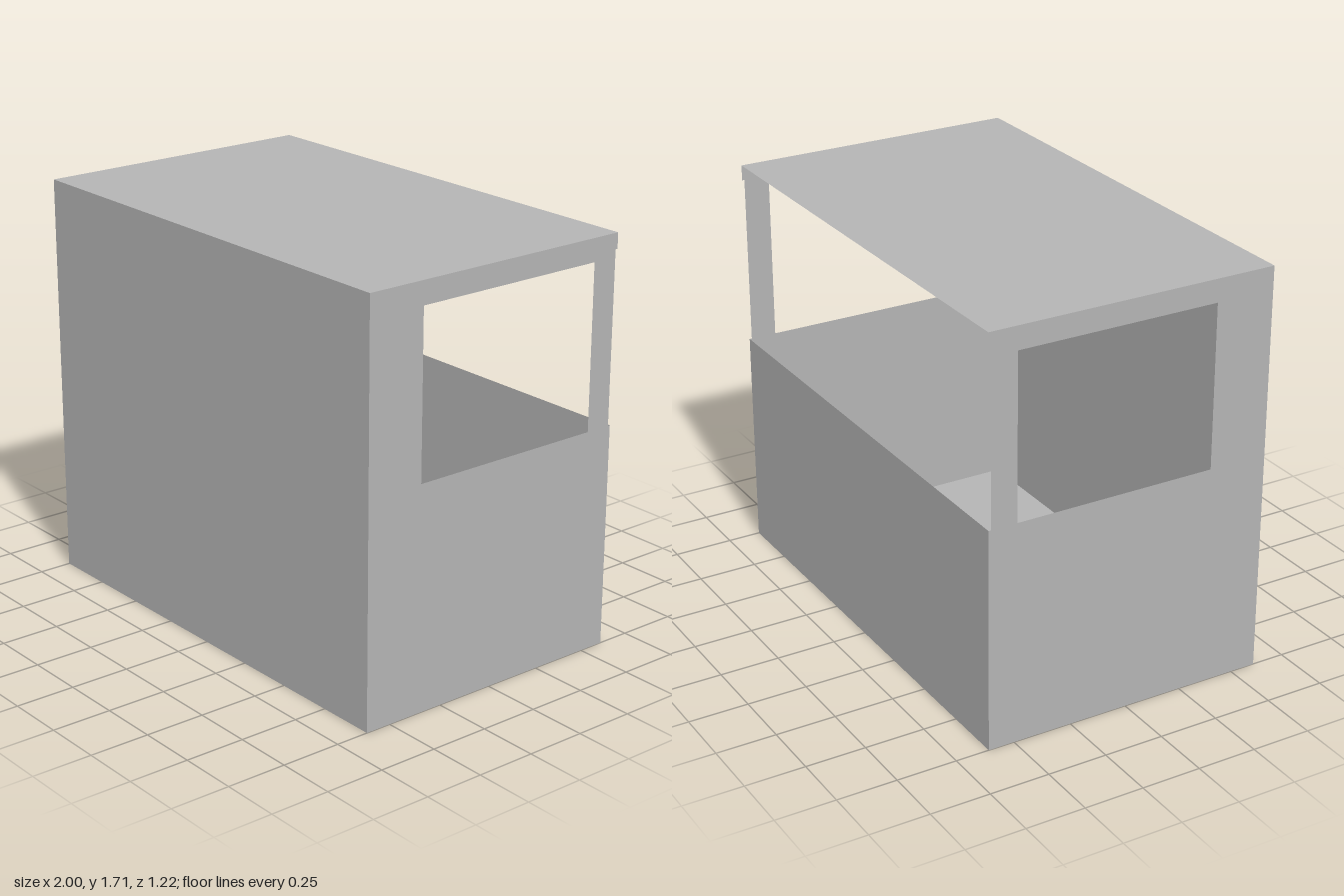
import * as THREE from 'three';

const HALF_W = 1, HEIGHT = 1.705, HALF_D = 0.61, SILL = 0.93;

export function createModel() {
  const group = new THREE.Group();
  const grey = new THREE.MeshStandardMaterial({ color: 0xb4b4b4, side: THREE.DoubleSide });
  grey.name = 'plain grey';

  const add = (name, geometry, position, rotation = [0, 0, 0]) => {
    const mesh = new THREE.Mesh(geometry, grey);
    mesh.name = name;
    mesh.position.set(...position);
    mesh.rotation.set(...rotation);
    group.add(mesh);
  };

  // Sheet panels: full front, half-height back, roof and floor
  add('frontWall', new THREE.PlaneGeometry(2 * HALF_W, HEIGHT), [0, HEIGHT / 2, HALF_D]);
  add('backCounterWall', new THREE.PlaneGeometry(2 * HALF_W, SILL), [0, SILL / 2, -HALF_D], [0, Math.PI, 0]);
  const slab = new THREE.PlaneGeometry(2 * HALF_W, 2 * HALF_D);
  add('roof', slab, [0, HEIGHT, 0], [-Math.PI / 2, 0, 0]);
  add('floor', slab, [0, 0, 0], [Math.PI / 2, 0, 0]);

  // Side wall outline (horizontal axis runs front to back), slightly recessed beside the open back
  const outline = [
    [-HALF_D, 0], [HALF_D, 0], [HALF_D, SILL], [0.6, SILL],
    [0.6, 1.64], [HALF_D, 1.64], [HALF_D, HEIGHT], [-HALF_D, HEIGHT],
  ];
  const windowHole = [[-0.36, SILL], [-0.36, 1.61], [0.49, 1.61], [0.49, SILL]];
  const toPoints = (list) => list.map(([u, v]) => new THREE.Vector2(u, v));
  const side = new THREE.Shape(toPoints(outline));
  side.holes.push(new THREE.Path(toPoints(windowHole)));
  const sideGeometry = new THREE.ShapeGeometry(side);
  add('leftWindowWall', sideGeometry, [HALF_W, 0, 0], [0, Math.PI / 2, 0]);
  add('rightWindowWall', sideGeometry, [-HALF_W, 0, 0], [0, Math.PI / 2, 0]);

  return group;
}
